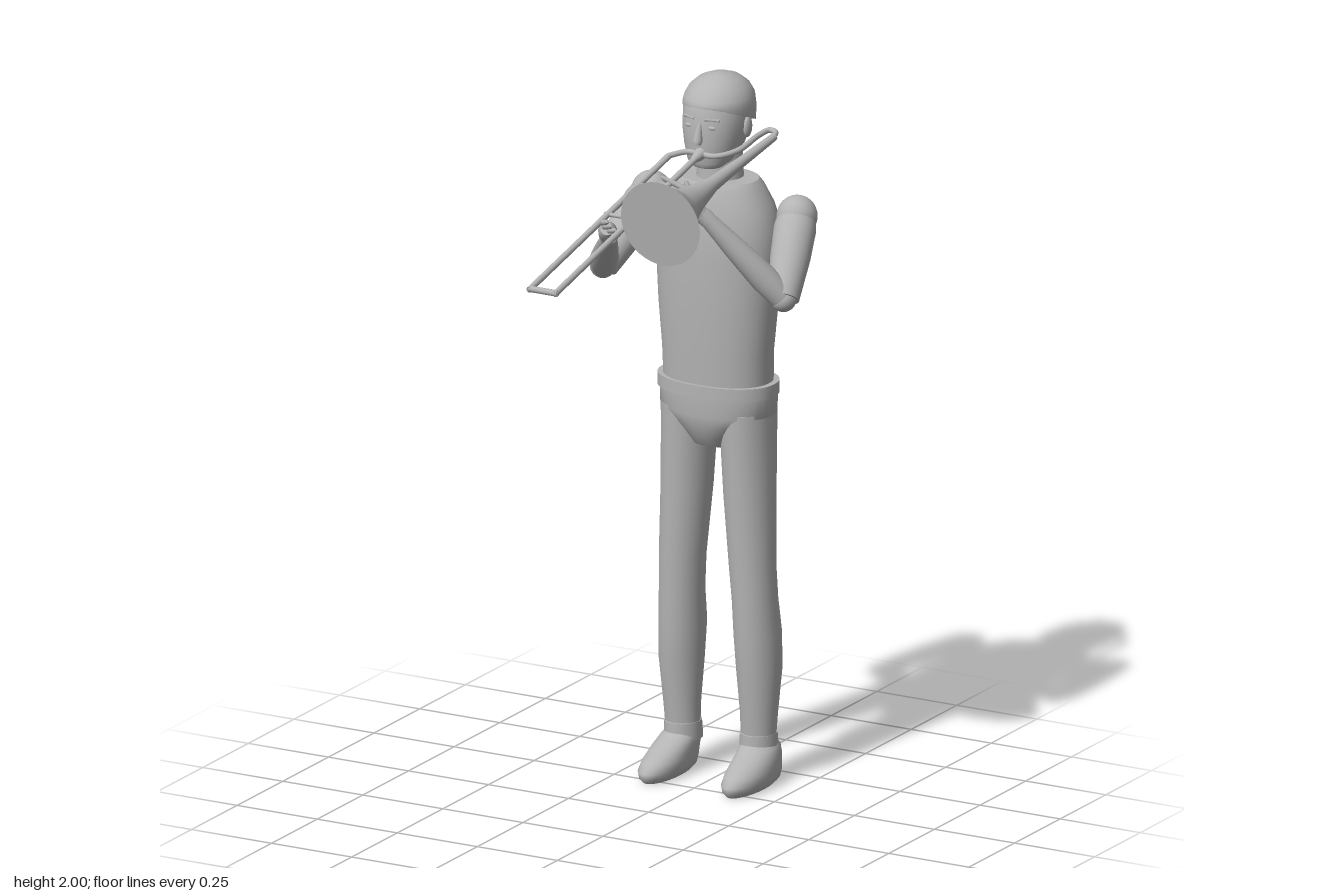
import * as THREE from 'three';

const grey = new THREE.MeshStandardMaterial({ color: 0xb4b4b4 });
grey.name = 'plain grey';
const V = (x, y, z) => new THREE.Vector3(x, y, z);

// Closed skin over oval rings [y, rx, rz, cx, cz, tilt]; the two ends get flat caps
function loft(rings, n = 28, power = 1) {
  const pos = [], index = [];
  const soft = (v) => Math.sign(v) * Math.abs(v) ** power;
  const addRing = ([y, rx, rz = rx, cx = 0, cz = 0, tilt = 0]) => {
    const start = pos.length / 3;
    for (let j = 0; j < n; j++) {
      const a = (j / n) * Math.PI * 2, z = rz * soft(Math.sin(a));
      pos.push(cx + rx * soft(Math.cos(a)), y + tilt * z, cz + z);
    }
    return start;
  };
  const starts = rings.map(addRing);
  for (let i = 0; i < rings.length - 1; i++) {
    for (let j = 0; j < n; j++) {
      const k = (j + 1) % n, a = starts[i], b = starts[i + 1];
      index.push(a + j, b + j, a + k, a + k, b + j, b + k);
    }
  }
  for (const top of [false, true]) {
    const ring = rings[top ? rings.length - 1 : 0], s = addRing(ring), c = pos.length / 3;
    pos.push(ring[3] || 0, ring[0], ring[4] || 0);
    for (let j = 0; j < n; j++) {
      const k = (j + 1) % n;
      if (top) index.push(c, s + k, s + j);
      else index.push(c, s + j, s + k);
    }
  }
  const g = new THREE.BufferGeometry();
  g.setAttribute('position', new THREE.Float32BufferAttribute(pos, 3));
  g.setIndex(index);
  g.computeVertexNormals();
  return g;
}

export function createModel() {
  const model = new THREE.Group();
  const add = (name, geometry, parent = model) => {
    const m = new THREE.Mesh(geometry, grey);
    m.name = name;
    parent.add(m);
    return m;
  };
  // Round bar from a to b; profile lists [fraction along, radius]
  const bar = (name, a, b, profile, n = 20, parent = model) => {
    const dir = b.clone().sub(a), len = dir.length();
    const m = add(name, loft(profile.map(([t, r]) => [t * len, r]), n), parent);
    m.position.copy(a);
    m.quaternion.setFromUnitVectors(V(0, 1, 0), dir.normalize());
    return m;
  };
  const ball = (name, p, rx, ry = rx, rz = rx, parent = model) => {
    const m = add(name, new THREE.SphereGeometry(1, 24, 16), parent);
    m.position.copy(p);
    m.scale.set(rx, ry, rz);
    return m;
  };

  // Trunk
  add('torso', loft([
    [1.13, 0.158, 0.107, 0, -0.383], [1.22, 0.16, 0.108, 0, -0.38], [1.35, 0.172, 0.115, 0, -0.382],
    [1.5, 0.181, 0.12, 0, -0.385], [1.58, 0.178, 0.118, 0, -0.387], [1.64, 0.158, 0.108, 0, -0.387],
    [1.69, 0.13, 0.094, 0, -0.385], [1.708, 0.115, 0.083, 0, -0.385]], 40, 0.9));
  add('belt', loft([[1.105, 0.175, 0.117, 0, -0.383], [1.14, 0.175, 0.117, 0, -0.383]], 40, 0.9));
  add('hips', loft([
    [0.955, 0.07, 0.07, 0, -0.385], [0.985, 0.085, 0.092, 0, -0.385], [1.02, 0.13, 0.105, 0, -0.385],
    [1.05, 0.168, 0.112, 0, -0.385], [1.11, 0.17, 0.113, 0, -0.385]], 40, 0.9));
  add('neck', loft([[1.68, 0.07, 0.065, 0, -0.392], [1.74, 0.062, 0.06, 0, -0.392], [1.82, 0.062, 0.06, 0, -0.392]]));

  // Head, hair and face
  add('head', loft([
    [1.752, 0.04, 0.04, 0, -0.33], [1.768, 0.06, 0.057, 0, -0.337], [1.81, 0.078, 0.088, 0, -0.363],
    [1.86, 0.088, 0.1, 0, -0.374], [1.92, 0.088, 0.1, 0, -0.38], [1.96, 0.07, 0.085, 0, -0.385]], 32, 0.9));
  add('hair', loft([
    [1.885, 0.095, 0.111, 0, -0.388, 0.38], [1.915, 0.097, 0.111, 0, -0.388, 0.15],
    [1.94, 0.093, 0.107, 0, -0.388], [1.965, 0.08, 0.092, 0, -0.388], [1.985, 0.057, 0.066, 0, -0.388],
    [1.996, 0.03, 0.035, 0, -0.388], [2, 0.006, 0.007, 0, -0.388]], 32));
  bar('nose', V(0, 1.885, -0.279), V(0, 1.825, -0.265), [[0, 0.006], [0.8, 0.014], [1, 0.01]], 12);
  ball('mouth', V(0, 1.797, -0.278), 0.022, 0.007, 0.008);
  for (const s of [1, -1]) {
    ball('ear', V(s * 0.09, 1.86, -0.385), 0.01, 0.03, 0.018);
    ball('eye', V(s * 0.034, 1.873, -0.284), 0.013, 0.006, 0.006);
    bar('eyebrow', V(s * 0.016, 1.895, -0.281), V(s * 0.054, 1.895, -0.293), [[0, 0.005], [1, 0.004]], 8);
  }

  // Legs and shoes
  for (const s of [1, -1]) {
    add('leg', loft([
      [0.12, 0.048, 0.046, s * 0.118, -0.395], [0.2, 0.052, 0.053, s * 0.12, -0.394],
      [0.32, 0.061, 0.069, s * 0.121, -0.394], [0.42, 0.063, 0.075, s * 0.117, -0.393],
      [0.52, 0.062, 0.068, s * 0.114, -0.383], [0.62, 0.064, 0.068, s * 0.109, -0.378],
      [0.82, 0.07, 0.08, s * 0.098, -0.383], [1, 0.073, 0.092, s * 0.092, -0.386],
      [1.06, 0.073, 0.094, s * 0.092, -0.386]]));
    add('ankleCuff', loft([[0.09, 0.052, 0.059, s * 0.118, -0.398], [0.14, 0.05, 0.056, s * 0.118, -0.396]]));
    add('shoe', loft([
      [0, 0.04, 0.118, s * 0.13, -0.335], [0.012, 0.052, 0.131, s * 0.13, -0.334],
      [0.03, 0.057, 0.134, s * 0.13, -0.335], [0.05, 0.057, 0.124, s * 0.129, -0.346],
      [0.075, 0.055, 0.1, s * 0.127, -0.37], [0.1, 0.052, 0.072, s * 0.122, -0.394],
      [0.115, 0.045, 0.055, s * 0.118, -0.398]]));
  }

  // Arms: shoulder, elbow, wrist, knuckles, fingertips, spread between fingers, thumb tip
  const arms = [
    ['right', V(-0.225, 1.62, -0.41), V(-0.268, 1.455, -0.22), V(-0.1, 1.632, 0.04), V(-0.075, 1.675, 0.1),
      V(-0.03, 1.695, 0.14), V(-0.009, 0.012, 0.006), V(-0.045, 1.665, 0.06)],
    ['left', V(0.23, 1.62, -0.41), V(0.27, 1.43, -0.265), V(0.092, 1.67, -0.145), V(0.035, 1.725, -0.115),
      V(-0.025, 1.755, -0.092), V(0.004, 0.014, -0.007), V(0.035, 1.765, -0.14)],
  ];
  for (const [side, shoulder, elbow, wrist, knuckle, tip, spread, thumb] of arms) {
    const arm = new THREE.Group();
    arm.name = side + 'Arm';
    model.add(arm);
    ball('shoulder', shoulder, 0.056, 0.058, 0.056, arm);
    bar('upperArm', shoulder, elbow, [[0, 0.052], [0.15, 0.058], [0.5, 0.055], [1, 0.043]], 24, arm);
    ball('elbow', elbow, 0.036, 0.036, 0.036, arm);
    bar('forearm', elbow, wrist, [[0, 0.034], [0.25, 0.039], [0.6, 0.032], [1, 0.021]], 24, arm);
    bar('wristCuff', wrist.clone().lerp(elbow, 0.04), wrist.clone().lerp(knuckle, 0.12), [[0, 0.024], [1, 0.023]], 20, arm);
    bar('palm', wrist, knuckle.clone().lerp(tip, 0.1), [[0, 0.018], [0.4, 0.027], [0.8, 0.026], [1, 0.018]], 16, arm);
    for (let i = 0; i < 4; i++) {
      const shift = spread.clone().multiplyScalar(i - 1.5);
      bar('finger', knuckle.clone().add(shift), tip.clone().add(shift), [[0, 0.008], [0.85, 0.007], [1, 0.003]], 10, arm);
    }
    bar('thumb', wrist.clone().lerp(knuckle, 0.4), thumb, [[0, 0.01], [0.85, 0.008], [1, 0.004]], 10, arm);
  }

  // Horn with a closed bell and a curved neck pipe beside the head
  const horn = new THREE.Group();
  horn.name = 'slideHorn';
  model.add(horn);
  bar('bell', V(0.14, 1.822, -0.44), V(0.14, 1.745, 0.181),
    [[0, 0.011], [0.3, 0.015], [0.55, 0.021], [0.7, 0.037], [0.83, 0.057], [0.9, 0.082], [1, 0.123]], 40, horn);
  const neckPath = new THREE.CatmullRomCurve3([
    V(0.14, 1.822, -0.435), V(0.128, 1.826, -0.47), V(0.104, 1.826, -0.478), V(0.093, 1.82, -0.44),
    V(0.09, 1.806, -0.33), V(0.05, 1.798, -0.276), V(-0.035, 1.798, -0.277), V(-0.075, 1.791, -0.235)]);
  add('neckPipe', new THREE.TubeGeometry(neckPath, 60, 0.008, 12), horn);

  // Long sliding tubes, sloping down to the front
  const slideY = (z) => 1.73 - 0.245 * z;
  const onSlide = (x, z) => V(x, slideY(z), z);
  const even = (r) => [[0, r], [1, r]];
  bar('outerSlideTube', onSlide(-0.075, -0.24), onSlide(-0.09, 0.497), even(0.009), 12, horn);
  bar('innerSlideTube', onSlide(0.004, -0.275), onSlide(-0.01, 0.497), even(0.009), 12, horn);
  for (const z of [-0.083, 0.08, 0.491]) {
    bar('crossBrace', onSlide(-0.092, z), onSlide(-0.004, z), even(z > 0.4 ? 0.009 : 0.006), 12, horn);
  }
  bar('mouthpiece', onSlide(0.004, -0.285), onSlide(0.003, -0.24), [[0, 0.018], [0.4, 0.016], [1, 0.009]], 16, horn);
  return model;
}
